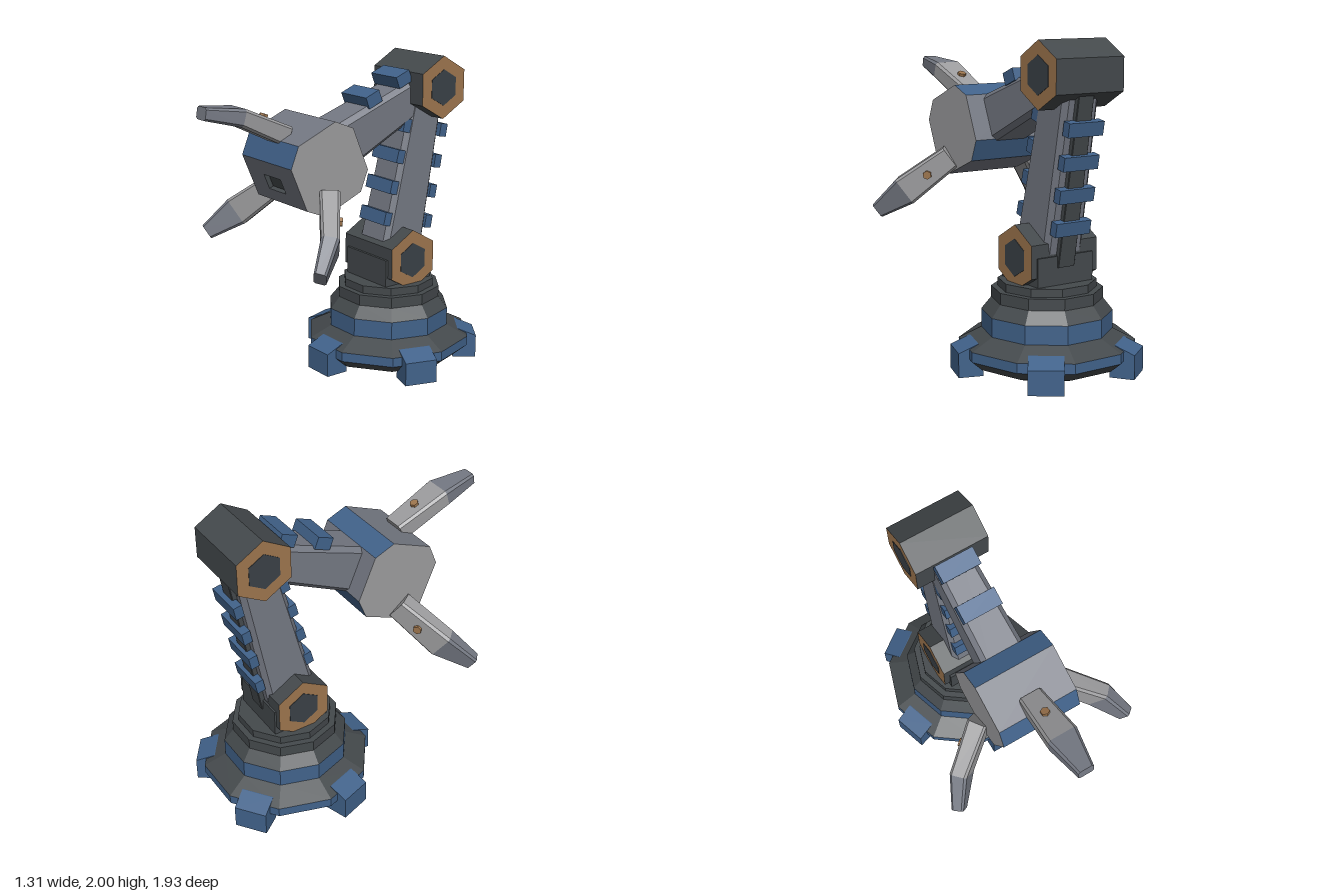
import * as THREE from 'three';

const mat = (name, color) => Object.assign(new THREE.MeshStandardMaterial({ color }), { name });

// Faceted normals for every part
function flat(geo) {
  const g = geo.index ? geo.toNonIndexed() : geo;
  g.computeVertexNormals();
  return g;
}

function add(parent, name, geo, material, pos = [0, 0, 0], rotX = 0) {
  const m = new THREE.Mesh(flat(geo), material);
  m.name = name;
  m.position.set(...pos);
  m.rotation.x = rotX;
  parent.add(m);
}

const polygon = pts => new THREE.Shape(pts.map(p => new THREE.Vector2(...p)));
const rect = (w, h, y = 0) => [[-w, y - h], [w, y - h], [w, y + h], [-w, y + h]];

// Chamfered rectangle across a path in the yz plane; a = heading, 0 is +z and PI/2 is +y
function ring(y, z, a, w, d, c) {
  const outline = [[w, -d + c], [w, d - c], [w - c, d], [-w + c, d], [-w, d - c], [-w, -d + c], [-w + c, -d], [w - c, -d]];
  return outline.map(([x, p]) => [x, y + p * Math.cos(a), z - p * Math.sin(a)]);
}

// Solid skin through a list of rings, with end caps
function loft(rings) {
  const n = rings[0].length, idx = [];
  for (let r = 0; r < rings.length - 1; r++) {
    for (let i = 0; i < n; i++) {
      const j = (i + 1) % n, a = r * n, b = a + n;
      idx.push(a + i, a + j, b + j, a + i, b + j, b + i);
    }
  }
  const end = (rings.length - 1) * n;
  for (let i = 1; i < n - 1; i++) idx.push(0, i + 1, i, end, end + i, end + i + 1);
  const g = new THREE.BufferGeometry();
  g.setAttribute('position', new THREE.Float32BufferAttribute(rings.flat(2), 3));
  g.setIndex(idx);
  return g;
}

export function createModel() {
  const dark = mat('dark metal', 0x44494c);
  const inset = mat('charcoal inset', 0x3a4147);
  const blue = mat('blue paint', 0x41628a);
  const bronze = mat('bronze', 0x9e764e);
  const steel = mat('steel grey', 0x747882);
  const light = mat('light grey', 0x9c9c9e);

  const model = new THREE.Group();
  model.name = 'clawArm';

  // Ten-sided base, one turned band per colour
  const base = new THREE.Group();
  base.name = 'base';
  base.position.z = -0.432;
  model.add(base);
  const band = (name, pts, material) => {
    const g = new THREE.LatheGeometry(pts.map(p => new THREE.Vector2(...p)), 10);
    g.rotateY(Math.PI / 2);
    add(base, name, g, material);
  };
  band('baseUnderside', [[0, 0.03], [0.22, 0.03], [0.26, 0], [0.33, 0], [0.47, 0.05], [0.54, 0.11]], dark);
  band('baseRim', [[0.54, 0.11], [0.54, 0.17]], blue);
  band('baseSkirt', [[0.54, 0.17], [0.4, 0.24]], dark);
  band('baseCollar', [[0.4, 0.24], [0.4, 0.355]], blue);
  band('baseTurret', [[0.4, 0.355], [0.34, 0.43], [0.34, 0.5], [0.3, 0.5], [0.3, 0.55], [0, 0.55]], dark);

  // Five wedge-topped feet
  const footShape = polygon([[0.43, 0], [0.58, 0], [0.58, 0.15], [0.46, 0.2], [0.43, 0.2]]);
  for (let i = 0; i < 5; i++) {
    const g = new THREE.ExtrudeGeometry(footShape, { depth: 0.21, bevelEnabled: false });
    g.translate(0, 0, -0.105);
    g.rotateY(-Math.PI / 2 + (i * Math.PI * 2) / 5);
    add(base, 'foot', g, blue);
  }

  // Shoulder mount
  add(model, 'shoulderMount', new THREE.BoxGeometry(0.4, 0.225, 0.375), dark, [0, 0.613, -0.433]);

  // Hexagonal joints with bronze ends and dark insets
  const hex = (r, len) => {
    const g = new THREE.CylinderGeometry(r, r, len, 6);
    g.rotateZ(Math.PI / 2);
    g.rotateX(Math.PI / 2);
    return g;
  };
  const joint = (name, y, z) => {
    add(model, name, hex(0.2, 0.48), [dark, bronze, bronze], [0, y, z]);
    add(model, name + 'Inset', hex(0.115, 0.486), inset, [0, y, z]);
  };
  joint('shoulderJoint', 0.705, -0.435);
  joint('elbowJoint', 1.8, -0.667);

  // Upper arm, leaning back, with a dark spine behind
  const lean = Math.PI / 2 + 0.208;
  add(model, 'upperArm', loft([
    ring(0.705, -0.435, lean, 0.14, 0.165, 0.03),
    ring(1.803, -0.667, lean, 0.125, 0.128, 0.03),
  ]), steel);
  add(model, 'upperArmSpine', loft([
    ring(0.66, -0.606, lean, 0.06, 0.022, 0.004),
    ring(1.77, -0.8, lean, 0.055, 0.022, 0.004),
  ]), dark);

  // Forearm, sloping down to the head
  const tilt = 0.4;
  add(model, 'forearm', loft([
    ring(1.78, -0.665, -tilt, 0.12, 0.112, 0.03),
    ring(1.458, 0.1, -tilt, 0.14, 0.155, 0.03),
  ]), steel);

  // Blue clips on both arms: y, z, rotation
  const clip = (y, z, rot, height, depth) =>
    add(model, 'armClip', new THREE.BoxGeometry(0.25, height, depth), blue, [0, y, z], rot);
  [[1.56, -0.475], [1.365, -0.425], [1.17, -0.375], [0.97, -0.325]].forEach(([y, z]) => clip(y, z, -0.25, 0.085, 0.062));
  [[1.495, -0.78], [1.295, -0.737], [1.1, -0.7], [0.9, -0.667]].forEach(([y, z]) => clip(y, z, -0.187, 0.085, 0.056));
  [[1.758, -0.2], [1.86, -0.44]].forEach(([y, z]) => clip(y, z, 0.38, 0.078, 0.11));

  // Head: a block with blue chamfers, pitched forward
  const head = new THREE.Group();
  head.name = 'head';
  head.position.set(0, 1.403, 0.24);
  head.rotation.x = tilt;
  model.add(head);
  const H = 0.247, L = 0.146, W = 0.26;
  const slot = rect(0.087, 0.051, -0.011);
  const corners = [[L, H], [H, L], [H, -L], [L, -H], [-L, -H], [-H, -L], [-H, L], [-L, H]]; // z, y
  corners.forEach(([z, y], i) => {
    const [z2, y2] = corners[(i + 1) % 8];
    const face = polygon(rect(W, Math.hypot(z2 - z, y2 - y) / 2));
    if (i === 1) face.holes.push(polygon(slot)); // front panel
    const g = new THREE.ShapeGeometry(face);
    g.rotateX(-Math.atan2(y + y2, z + z2));
    add(head, i % 2 ? 'headPanel' : 'headChamfer', g, i % 2 ? steel : blue, [0, (y + y2) / 2, (z + z2) / 2]);
  });
  for (const s of [-1, 1]) {
    const g = new THREE.ShapeGeometry(polygon(corners));
    g.scale(-1, -1, 1);
    g.rotateY((s * Math.PI) / 2);
    // corners run clockwise, and ShapeGeometry turns them to face outward
    add(head, 'headSide', g, light, [s * W, 0, 0]);
  }

  // Recessed slot in the front panel: a box turned inside out
  const recess = new THREE.BoxGeometry(0.174, 0.102, 0.03);
  recess.scale(-1, 1, 1);
  add(head, 'slotRecess', recess, dark, [0, -0.011, H - 0.015]);

  // Three claws around the head; the lower two stand further out
  for (let i = 0; i < 3; i++) {
    const claw = new THREE.Group();
    claw.name = 'claw';
    claw.rotation.z = (i * Math.PI * 2) / 3;
    head.add(claw);
    const o = i ? 0.07 : 0;
    const root = ring(0.235 + o, 0.075, 0.84, 0.074, 0.062, 0.014);
    const knuckle = ring(0.5 + o, 0.315, 0.68, 0.094, 0.055, 0.016);
    const tip = ring(0.632 + o, 0.514, 0.56, 0.05, 0.038, 0.012);
    add(claw, 'clawBase', loft([root, knuckle]), light);
    add(claw, 'clawTip', loft([knuckle, tip]), steel);
    const bolt = new THREE.CylinderGeometry(0.028, 0.028, 0.03, 6);
    add(claw, 'clawBolt', bolt, bronze, [0, 0.409 + o, 0.151], -0.78);
  }

  return model;
}
